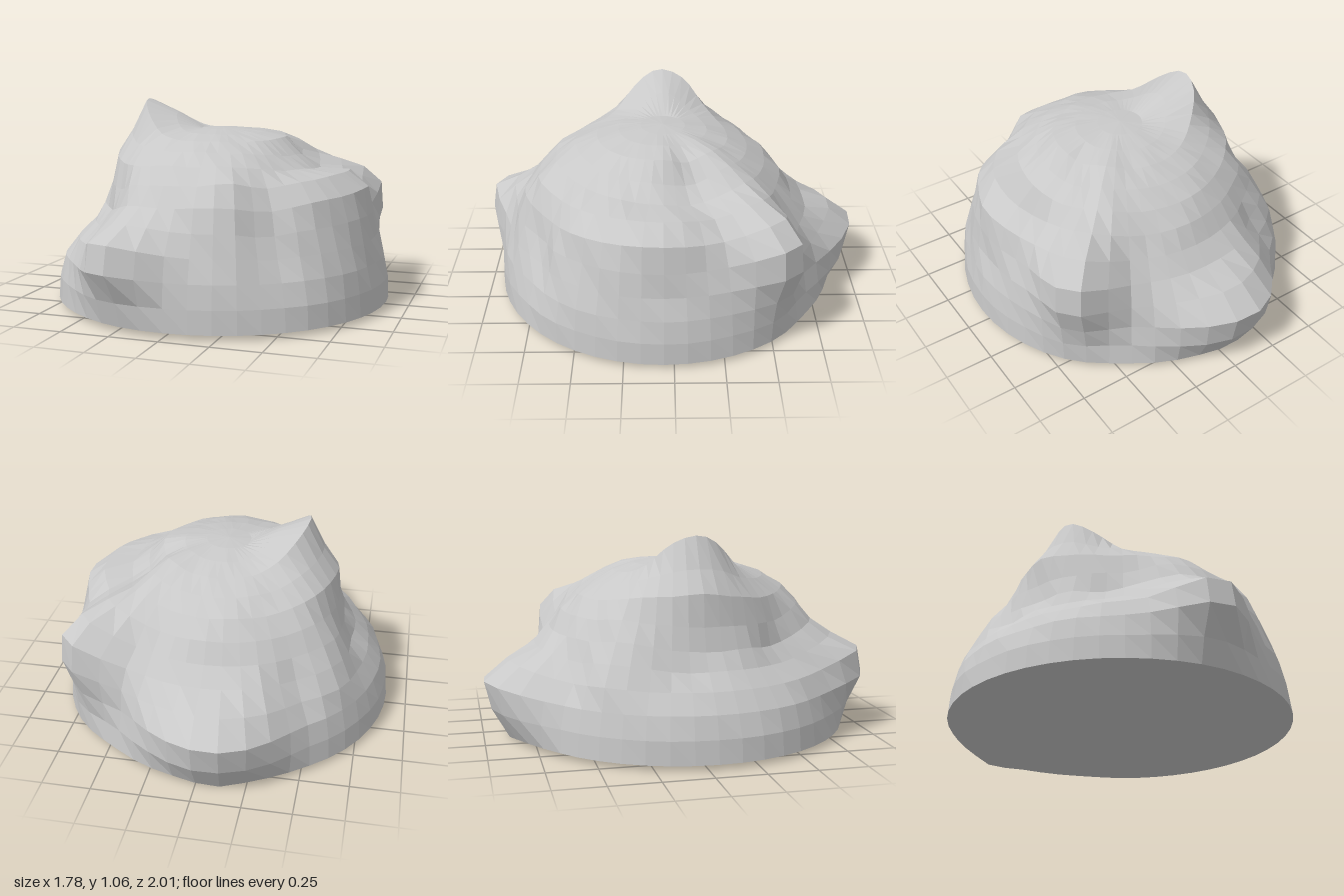
import * as THREE from 'three';

const R = 0.89, SEGMENTS = 48, RINGS = 12, CENTRE = [0, 0.025, 0.05];

// Swellings and hollows: azimuth (0 = +x, 90 = front), elevation, height, azimuth width, elevation width (degrees)
const BUMPS = [
  [180, 69, 0.23, 28, 6],    // summit crest
  [183, 56, 0.10, 28, 6],    // shoulder under the crest
  [180, 33, -0.10, 30, 12],  // hollow above the right apron
  [138, 37, -0.09, 18, 11],  // hollow above the front lobe
  [108, 20, 0.19, 12, 9],    // front lobe
  [90, 52, 0.04, 50, 16],    // front brow
  [264, 14, 0.20, 17, 9],    // back lobe
  [264, 36, -0.03, 30, 8],   // back saddle
  [318, 29, 0.22, 11, 11],   // rear horn
  [315, 54, 0.05, 12, 14],   // ridge up to the horn
  [340, 58, -0.04, 11, 12],  // gully beside the ridge
  [5, 40, 0.10, 30, 9],      // left shoulder
  [5, 55, -0.05, 32, 6],     // step above the left shoulder
  [0, 68, 0.03, 30, 7],      // rim of the crown above the step
  [55, 28, -0.06, 8, 12],    // front cleft
  [70, 42, 0.03, 10, 10],    // rib beside the cleft
  [214, 36, 0.04, 12, 12],   // right rear swelling
  [234, 25, -0.04, 7, 14],   // rear cleft
  [304, 14, -0.04, 9, 12],   // undercut beside the horn
];

// Distance of the surface from the centre in a direction
function radius(az, el) {
  let r = R;
  for (const [a, e, height, wa, we] of BUMPS) {
    const da = (((az - a + 540) % 360) - 180) / wa, de = (el - e) / we;
    r += height * Math.exp(-0.7 * (da * da + de * de));
  }
  // bumps fade into an even crown; slight unevenness on the flanks
  const t = az * Math.PI / 180, e = el * Math.PI / 180;
  const crown = THREE.MathUtils.smoothstep(el, 72, 88);
  const rough = 0.006 * Math.sin(2 * e) * Math.cos(e);
  return THREE.MathUtils.lerp(r, R, crown) + rough * (Math.sin(9 * t + el * 0.21) + Math.sin(14 * t - el * 0.33));
}

function surfacePoint(ring, segment) {
  const el = 90 * ring / RINGS, az = 360 * (segment % SEGMENTS) / SEGMENTS;
  const r = radius(az, el), e = el * Math.PI / 180, a = az * Math.PI / 180;
  // the foot of the back lobe sags a little below the rim
  const sag = ring === 0 ? 0.025 * Math.exp(-(((az - 264) / 8) ** 2)) : 0;
  return [
    CENTRE[0] + r * Math.cos(e) * Math.cos(a),
    CENTRE[1] + r * Math.sin(e) - sag,
    CENTRE[2] + r * Math.cos(e) * Math.sin(a),
  ];
}

function makeGeometry(positions) {
  const geometry = new THREE.BufferGeometry();
  geometry.setAttribute('position', new THREE.Float32BufferAttribute(positions, 3));
  geometry.computeVertexNormals(); // unshared corners give flat facets
  return geometry;
}

export function createModel() {
  const stone = new THREE.MeshStandardMaterial({ color: 0xc8c8c8 });
  stone.name = 'stoneGrey';
  const shell = [], base = [];

  for (let s = 0; s < SEGMENTS; s++) {
    // faceted dome
    for (let k = 0; k < RINGS; k++) {
      const a = surfacePoint(k, s), b = surfacePoint(k, s + 1);
      const c = surfacePoint(k + 1, s + 1), d = surfacePoint(k + 1, s);
      shell.push(...a, ...c, ...b);
      if (k < RINGS - 1) shell.push(...a, ...d, ...c);
    }
    // flat underside
    base.push(...CENTRE, ...surfacePoint(0, s), ...surfacePoint(0, s + 1));
  }

  const group = new THREE.Group();
  group.name = 'boulder';
  for (const [name, positions] of [['rockSurface', shell], ['underside', base]]) {
    const mesh = new THREE.Mesh(makeGeometry(positions), stone);
    mesh.name = name;
    group.add(mesh);
  }
  return group;
}
